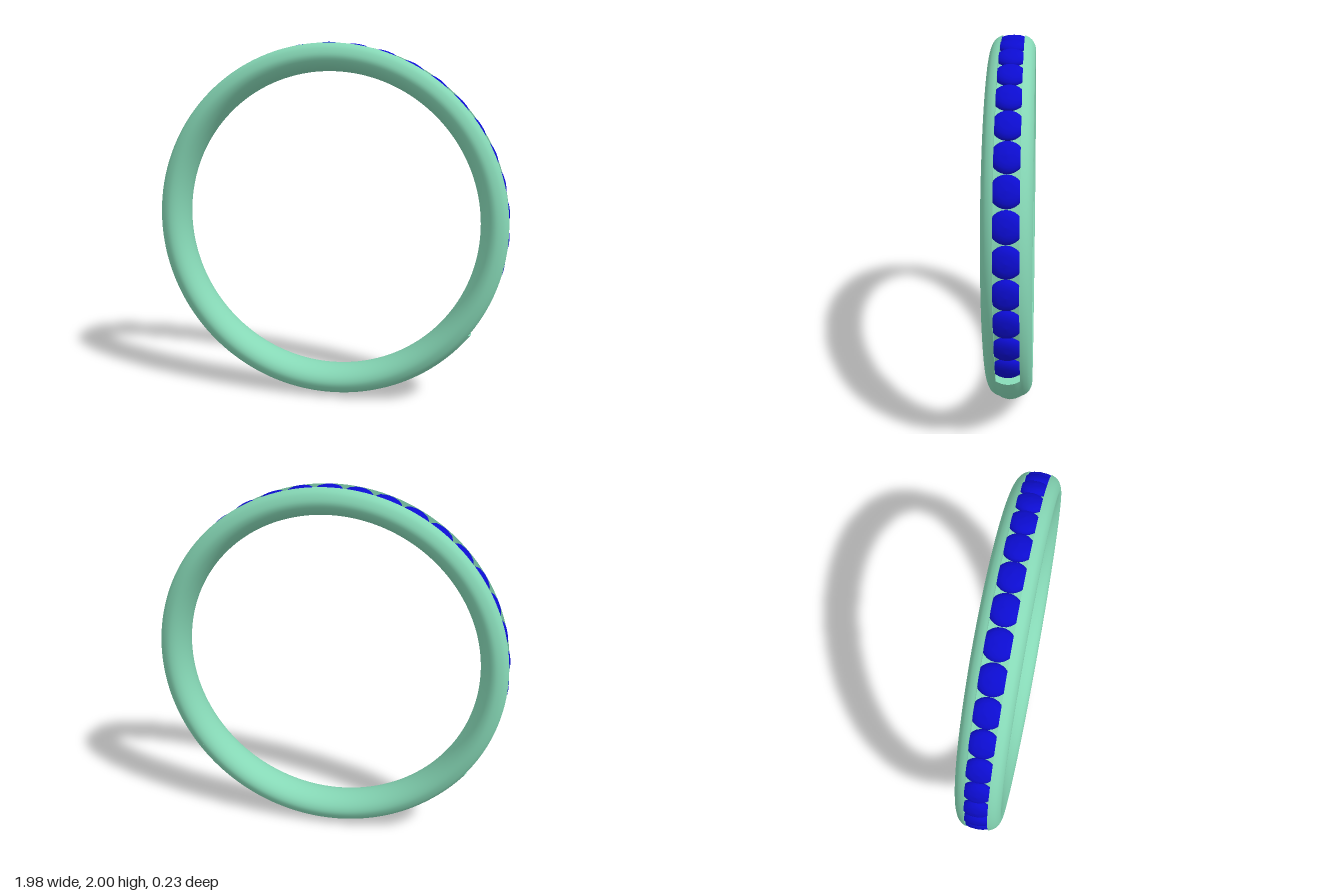
import * as THREE from 'three';

const CENTER_Y = 1.007;
const CHANNEL_HALF = 0.06;   // half width of the stone channel
const RAIL_R = 0.987;        // radius of the rail edges
const FLOOR_R = 0.955;       // radius of the channel floor
const END = THREE.MathUtils.degToRad(126.5); // channel end, measured from the top
const STEP = THREE.MathUtils.degToRad(9.32); // angle between stones

const v = (x, y) => new THREE.Vector2(x, y);

export function createModel() {
  const model = new THREE.Group();
  const metal = new THREE.MeshStandardMaterial({ color: 0x86d8b6, side: THREE.DoubleSide });
  const blue = new THREE.MeshStandardMaterial({ color: 0x0c0cd0 });
  const ring = new THREE.Group();
  ring.name = 'ring';
  ring.position.y = CENTER_Y;
  model.add(ring);

  // sweeps a (radius, depth) profile round the ring; angle 0 is the top
  function sweep(name, points, start, length, segments) {
    const geometry = new THREE.LatheGeometry(points, segments, start, length);
    geometry.rotateX(-Math.PI / 2);
    const mesh = new THREE.Mesh(geometry, metal);
    mesh.name = name;
    ring.add(mesh);
  }

  // rounded side of the band, from one rail edge through the inside to the other
  const side = [
    v(RAIL_R, CHANNEL_HALF), v(0.978, 0.08), v(0.958, 0.102), v(0.92, 0.117),
    v(0.885, 0.107), v(0.858, 0.078), v(0.843, 0.04),
  ];
  const mirrored = side.slice().reverse().map(p => v(p.x, -p.y));
  const shell = [...side, v(0.838, 0), ...mirrored];
  const smooth = (pts, n) => new THREE.SplineCurve(pts).getPoints(n);

  // plain lower band with its domed outside
  const crown = [v(1.0, 0.032), v(1.006, 0), v(1.0, -0.032)];
  const full = [crown[1], crown[0], ...shell, crown[2], crown[1]];
  sweep('plainBand', smooth(full, 56), END, 2 * Math.PI - 2 * END, 72);

  // upper band with the channel cut into it
  sweep('channelBand', smooth(shell, 48), -END, 2 * END, 144);
  sweep('channelFloor', [v(FLOOR_R, -CHANNEL_HALF), v(FLOOR_R, CHANNEL_HALF)], -END, 2 * END, 144);
  sweep('channelWallBack', [v(RAIL_R, -CHANNEL_HALF), v(FLOOR_R, -CHANNEL_HALF)], -END, 2 * END, 144);
  sweep('channelWallFront', [v(FLOOR_R, CHANNEL_HALF), v(RAIL_R, CHANNEL_HALF)], -END, 2 * END, 144);

  // walls closing the two channel ends
  const endShape = new THREE.Shape([
    v(-CHANNEL_HALF, FLOOR_R), v(CHANNEL_HALF, FLOOR_R), v(CHANNEL_HALF, RAIL_R),
    ...crown.map(p => v(p.y, p.x)), v(-CHANNEL_HALF, RAIL_R),
  ]);
  for (const s of [-1, 1]) {
    const geometry = new THREE.ShapeGeometry(endShape);
    geometry.rotateY(Math.PI / 2);
    geometry.rotateZ(-s * END);
    const wall = new THREE.Mesh(geometry, metal);
    wall.name = s > 0 ? 'channelEndLeft' : 'channelEndRight';
    ring.add(wall);
  }

  // low domed round stones, their rims tucked under the rails
  const stoneGeometry = new THREE.LatheGeometry([
    v(0.03, 0.92), v(0.076, 0.948), v(0.077, 0.96), v(0.072, 0.971),
    v(0.058, 0.983), v(0.035, 0.99), v(0, 0.993),
  ], 24);
  const stones = new THREE.Group();
  stones.name = 'stones';
  for (let i = -13; i <= 13; i++) {
    const stone = new THREE.Mesh(stoneGeometry, blue);
    stone.name = 'stone';
    stone.rotation.z = -i * STEP;
    stones.add(stone);
  }
  ring.add(stones);

  return model;
}
